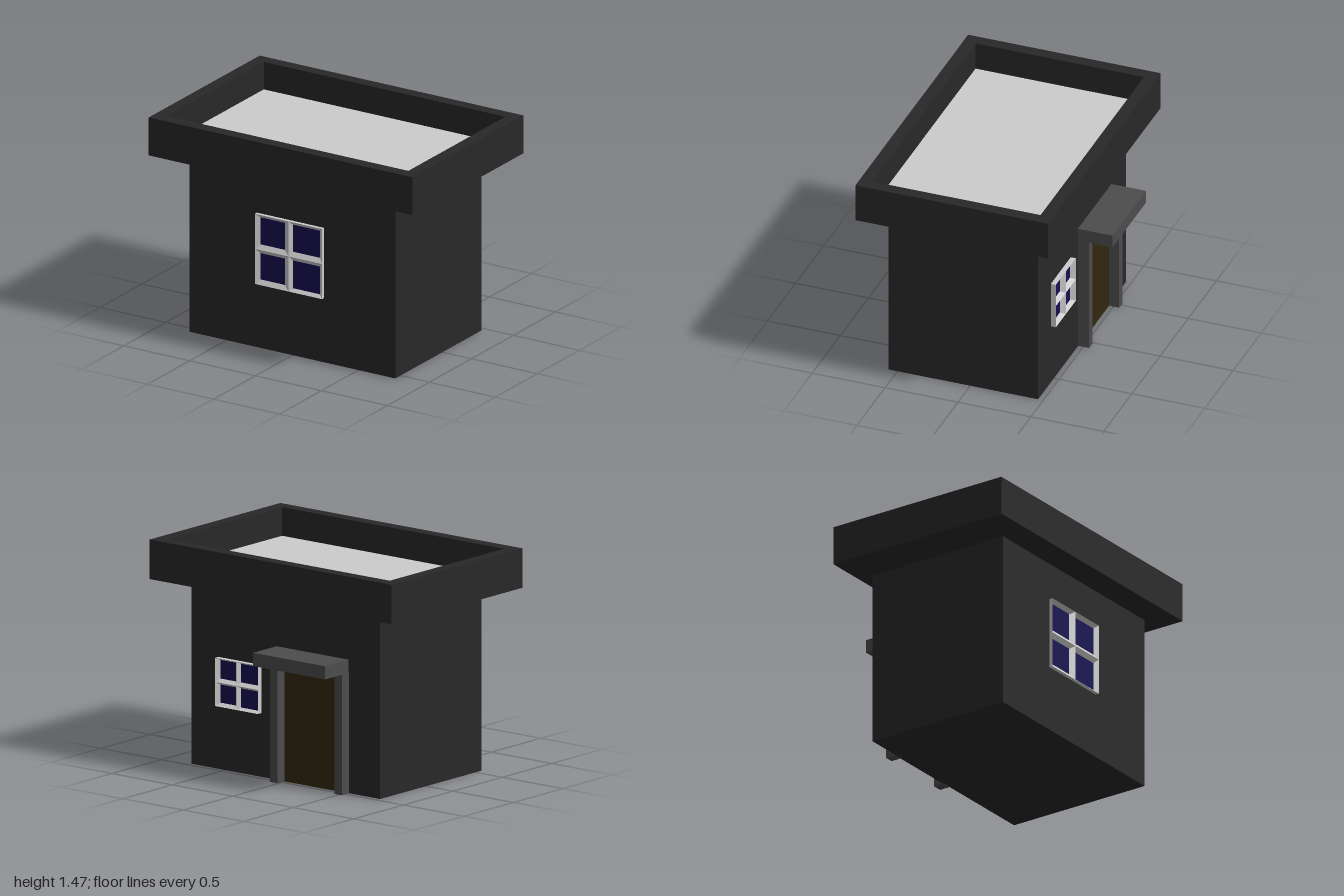
import * as THREE from 'three';

const paint = (color) => new THREE.MeshStandardMaterial({ color, flatShading: true });

// Skin a stack of rectangles [y, x0, x1, z0, z1], optionally closed at the start or end
function loft(rings, { start = false, end = false } = {}) {
  const pos = [];
  const loops = rings.map(([y, x0, x1, z0, z1]) => [[x0, y, z1], [x1, y, z1], [x1, y, z0], [x0, y, z0]]);
  const quad = (a, b, c, d) => [a, b, c, a, c, d].forEach((p) => pos.push(...p));
  for (let k = 0; k + 1 < loops.length; k++) {
    for (let i = 0; i < 4; i++) {
      const j = (i + 1) % 4;
      quad(loops[k][i], loops[k][j], loops[k + 1][j], loops[k + 1][i]);
    }
  }
  if (start) quad(...[...loops[0]].reverse());
  if (end) quad(...loops[loops.length - 1]);
  const geo = new THREE.BufferGeometry();
  geo.setAttribute('position', new THREE.Float32BufferAttribute(pos, 3));
  geo.computeVertexNormals();
  return geo;
}

function add(parent, name, geo, material) {
  const mesh = new THREE.Mesh(geo, material);
  mesh.name = name;
  parent.add(mesh);
  return mesh;
}

// Box given by its limits on each axis
function block(parent, name, [x0, x1], [y0, y1], [z0, z1], material) {
  const mesh = add(parent, name, new THREE.BoxGeometry(x1 - x0, y1 - y0, z1 - z0), material);
  mesh.position.set((x0 + x1) / 2, (y0 + y1) / 2, (z0 + z1) / 2);
}

// Four-pane window facing +z, with frame bars sloping down to the glass
function makeWindow(name, frameMat, glassMat) {
  const group = new THREE.Group();
  group.name = name;
  const w = 0.255, h = 0.24, depth = 0.025, glassY = 0.003;
  const stand = (geo) => geo.rotateX(Math.PI / 2);
  add(group, 'frameEdge', stand(loft([[0, -w, w, -h, h], [depth, -w, w, -h, h]])), frameMat);
  for (const right of [false, true]) {
    for (const top of [false, true]) {
      const x = right ? [0, w] : [-w, 0];
      const z = top ? [-h, 0] : [0, h];
      const bottomBar = !top && right ? 0.02 : 0.03;
      const pane = [
        glassY,
        x[0] + (right ? 0.02 : 0.03), x[1] - (right ? 0.03 : 0.04),
        z[0] + (top ? 0.025 : 0.03), z[1] - bottomBar,
      ];
      add(group, 'frameBars', stand(loft([[depth, ...x, ...z], pane])), frameMat);
      add(group, 'glassPane', stand(loft([pane], { end: true })), glassMat);
    }
  }
  return group;
}

export function createModel() {
  const model = new THREE.Group();
  model.name = 'house';
  const wall = paint(0x282828);
  const trim = paint(0x4c4c4c);
  const grey = paint(0xcccccc);
  const glass = paint(0x150f52);
  const wood = paint(0x33260f);

  // Walls
  const body = [-0.78, 0.78, -0.465, 0.56];
  add(model, 'walls', loft([[0, ...body], [1.17, ...body]], { start: true }), wall);

  // Flared eaves, parapet and the sunken roof deck
  const eaves = [-1, 1, -0.617, 0.703];
  const inner = [-0.917, 0.917, -0.535, 0.62];
  const deck = [1.28, ...inner];
  add(model, 'parapet', loft([[1.17, ...body], [1.208, ...eaves], [1.468, ...eaves], [1.468, ...inner], deck]), wall);
  add(model, 'roofDeck', loft([deck], { end: true }), grey);

  // Windows: large at the front, smaller at the back
  const front = makeWindow('frontWindow', grey, glass);
  front.position.set(-0.015, 0.68, 0.56);
  const back = makeWindow('backWindow', grey, glass);
  back.position.set(0.378, 0.577, -0.465);
  back.scale.set(0.695, 0.66, 1.4);
  back.rotation.y = Math.PI;
  model.add(front, back);

  // Back entrance: door, posts and canopy
  const entrance = new THREE.Group();
  entrance.name = 'entrance';
  model.add(entrance);
  block(entrance, 'door', [-0.465, 0.01], [0, 0.79], [-0.47, -0.46], wood);
  for (const x of [[-0.525, -0.465], [0.005, 0.07]]) {
    block(entrance, 'doorPost', x, [0, 0.79], [-0.54, -0.46], trim);
  }
  block(entrance, 'canopy', [-0.52, 0.075], [0.79, 0.877], [-0.703, -0.46], trim);
  return model;
}
